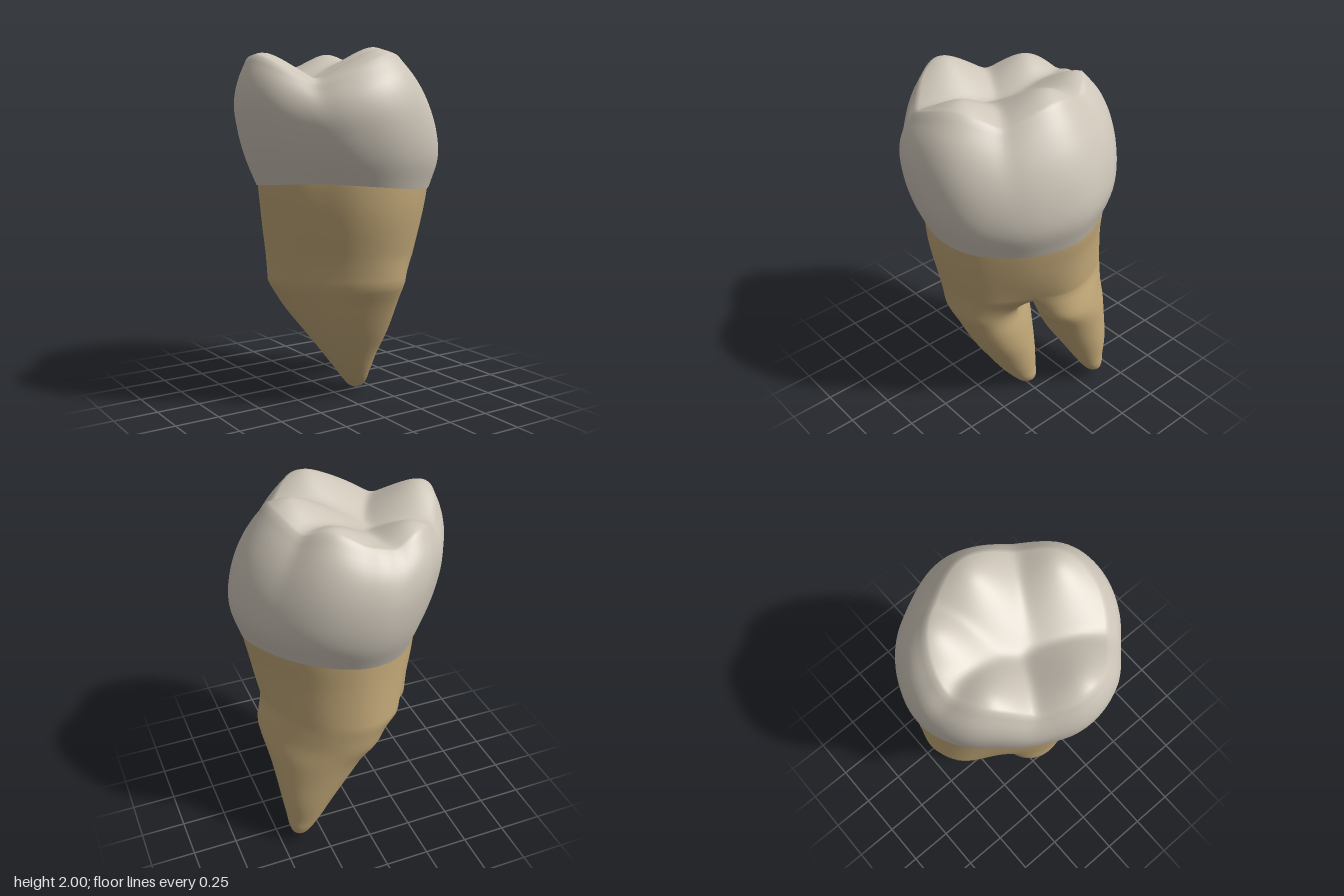
import * as THREE from 'three';
import { mergeVertices } from 'three/addons/utils/BufferGeometryUtils.js';

const { lerp, clamp } = THREE.MathUtils;
const TAU = Math.PI * 2, Q = Math.SQRT1_2;

// Outline radii every 22.5 degrees, starting at the diagonal (+x, -z)
const RADII = [.58, .58, .6, .588, .58, .6, .6, .58, .56, .592, .602, .55, .54, .58, .6, .59];

// Smooth closed outline, 1 = widest; angle t is measured from the diagonal
function outline(t) {
  const s = ((t / TAU) % 1 + 1) % 1 * 16, i = Math.floor(s), f = s - i;
  const [a, b, c, d] = [15, 16, 17, 18].map(k => RADII[(i + k) % 16]);
  return (b + .5 * f * (c - a + f * (2 * a - 5 * b + 4 * c - d + f * (3 * (b - c) + d - a)))) / .6;
}

// Smooth lookup in rows of [key, ...values], keys ascending
function profile(rows) {
  const curve = new THREE.CubicInterpolant(rows.map(r => r[0]), rows.flatMap(r => r.slice(1)), rows[0].length - 1);
  return key => Array.from(curve.evaluate(key));
}

// Skin closed rings, listed from top to bottom, into a triangle list
function skin(rings, out) {
  for (let i = 0; i + 1 < rings.length; i++) {
    const p = rings[i], q = rings[i + 1], n = p.length;
    for (let k = 0; k < n; k++) {
      const m = (k + 1) % n;
      for (const v of [p[k], p[m], q[k], p[m], q[m], q[k]]) out.push(v.x, v.y, v.z);
    }
  }
}

function smoothMesh(name, triangles, material) {
  let g = new THREE.BufferGeometry();
  g.setAttribute('position', new THREE.Float32BufferAttribute(triangles, 3));
  g = mergeVertices(g, 1e-5);
  g.computeVertexNormals();
  const mesh = new THREE.Mesh(g, material);
  mesh.name = name;
  return mesh;
}

// Chewing surface: five cusps [x, z, peak, slope] and a low back ridge, meeting in grooves
const CUSPS = [
  [.27, -.01, 2.0, .62], [.05, .35, 1.97, .6], [-.48, .05, 1.95, .66],
  [-.25, -.34, 1.93, .66], [.16, -.33, 1.965, .62], [-.02, -.46, 1.88, .6],
];
function chewingHeight(x, z) {
  let sum = 0;
  for (const [cx, cz, peak, slope] of CUSPS) {
    const d = Math.hypot(x - cx, z - cz, .07) - .07;
    sum += Math.exp(70 * (peak - slope * d));
  }
  return Math.log(sum) / 70;
}

// Crown wall: height fraction, centre x, half width x, half width z
const wall = profile([
  [0, .04, .515, .53], [.23, .03, .57, .585], [.46, 0, .583, .605],
  [.69, -.04, .563, .592], [.85, -.065, .518, .55], [1, -.085, .455, .465],
]);

function crownTriangles() {
  const N = 112, CAP = 26, WALL = 24, rings = [];
  const ring = fn => Array.from({ length: N }, (_, k) => fn(k / N * TAU));
  const at = (t, [cx, sx, sz], q) => {
    const r = outline(t) * q, phi = t - Math.PI / 4;
    return [cx + sx * r * Math.cos(phi), sz * r * Math.sin(phi)];
  };
  for (let i = 0; i < CAP; i++) {
    rings.push(ring(t => {
      const [x, z] = at(t, wall(1), i / CAP);
      return new THREE.Vector3(x, chewingHeight(x, z), z);
    }));
  }
  for (let i = WALL; i >= 0; i--) {
    const f = i / WALL, row = wall(f);
    rings.push(ring(t => {
      const [x, z] = at(t, row, 1);
      const neck = 1.248 + .025 * Math.cos(2 * t);
      return new THREE.Vector3(x, lerp(neck, chewingHeight(...at(t, wall(1), 1)), f), z);
    }));
  }
  const out = [];
  skin(rings, out);
  return out;
}

// Trunk: height, centre x, centre z, half width x, half width z
const FORK = .85;
const trunk = profile([
  [FORK, .04, -.045, .452, .505], [1.1, .037, -.008, .485, .52],
  [1.25, .04, 0, .508, .523], [1.33, .04, 0, .508, .523],
]);

// Roots: height, then centre and half width along the diagonal, centre and half width across it
const ROOTS = [
  { tip: 0, rows: [
    [0, .12, 0, .105, 0], [.02, .118, .042, .105, .038], [.05, .108, .07, .104, .062], [.12, .07, .105, .1, .095],
    [.26, .012, .155, .085, .165], [.4, -.04, .19, .07, .245],
    [.55, -.09, .215, .045, .325], [.7, -.145, .22, .035, .385]] },
  { tip: .05, rows: [
    [.05, .53, 0, .02, 0], [.065, .53, .035, .02, .035], [.1, .518, .062, .018, .065], [.17, .492, .09, .012, .1],
    [.3, .45, .138, .005, .155], [.48, .385, .188, 0, .24],
    [.6, .355, .205, 0, .3], [.7, .335, .21, 0, .36]] },
];

function rootTriangles() {
  const N = 96, K1 = 19, K2 = 69, STEPS = 18, BRIDGE = 22, DOWN = 36, out = [];
  const bump = (k, k0) => Math.exp(-(((k - k0) / 6) ** 2));

  // Trunk, with grooves deepening towards the fork
  const rings = [];
  for (let i = 0; i <= STEPS; i++) {
    const y = lerp(1.33, FORK, i / STEPS), [cx, cz, sx, sz] = trunk(y);
    const groove = .09 * clamp((1.15 - y) / .3, 0, 1) ** 2;
    rings.push(Array.from({ length: N }, (_, k) => {
      const t = k / N * TAU, phi = t - Math.PI / 4;
      const r = outline(t) * (1 - groove * (bump(k, K1) + bump(k, K2)));
      return new THREE.Vector3(cx + sx * r * Math.cos(phi), y, cz + sz * r * Math.sin(phi));
    }));
  }
  skin(rings, out);

  // Arched bridge that splits the last ring in two
  const last = rings[STEPS], bridge = [];
  for (let i = 1; i < BRIDGE; i++) {
    const p = last[K1].clone().lerp(last[K2], i / BRIDGE);
    p.y += .03 * Math.sin(Math.PI * i / BRIDGE);
    bridge.push(p);
  }
  const starts = [
    [...last.slice(K1, K2 + 1), ...bridge.slice().reverse()],
    [...last.slice(K2), ...last.slice(0, K1 + 1), ...bridge],
  ];

  // Each root eases from its half of the trunk into tapering ovals
  ROOTS.forEach(({ tip, rows }, n) => {
    const oval = profile(rows), [ca, ha, cb, hb] = oval(.7);
    const angles = starts[n].map(p => Math.atan2(((p.x + p.z) * Q - cb) / hb, ((p.x - p.z) * Q - ca) / ha));
    const rootRings = [starts[n]];
    for (let i = 1; i <= DOWN; i++) {
      const y = lerp(FORK, tip, Math.sin(i / DOWN * Math.PI / 2));
      const w = Math.sin(Math.PI / 2 * Math.min(1, (FORK - y) / .27));
      const [a0, ra, b0, rb] = oval(y);
      rootRings.push(starts[n].map((p, k) => {
        const a = a0 + ra * Math.cos(angles[k]), b = b0 + rb * Math.sin(angles[k]);
        return new THREE.Vector3(
          lerp(p.x, (a + b) * Q, w), y + (p.y - FORK) * (1 - w), lerp(p.z, (b - a) * Q, w));
      }));
    }
    skin(rootRings, out);
  });
  return out;
}

export function createModel() {
  const enamel = new THREE.MeshStandardMaterial({ color: 0xcdc5b8 });
  enamel.name = 'enamel';
  const dentine = new THREE.MeshStandardMaterial({ color: 0xc2a878 });
  dentine.name = 'dentine';
  const group = new THREE.Group();
  group.name = 'molarTooth';
  group.add(smoothMesh('crown', crownTriangles(), enamel), smoothMesh('roots', rootTriangles(), dentine));
  return group;
}
